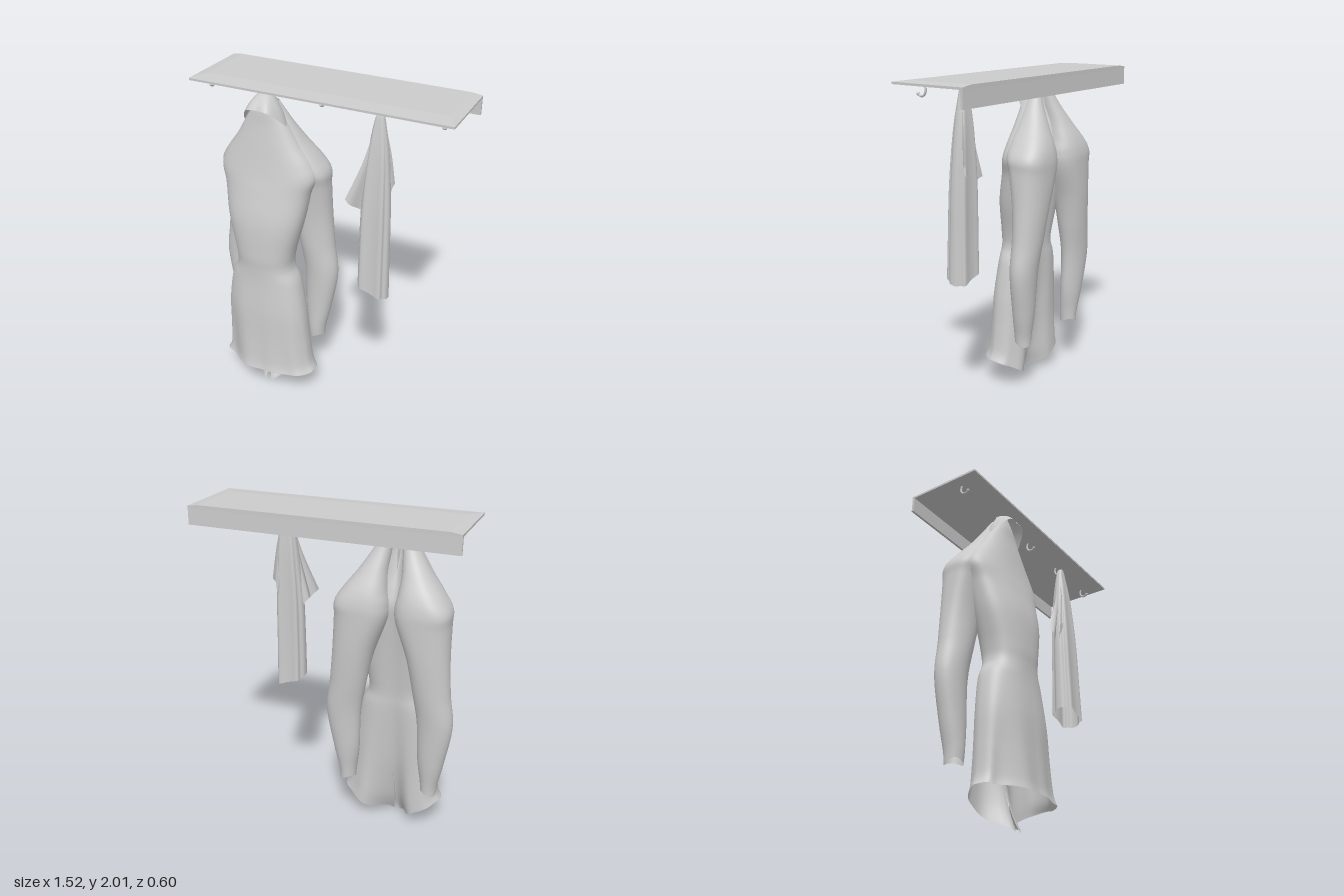
import * as THREE from 'three';
import { ParametricGeometry } from 'three/addons/geometries/ParametricGeometry.js';

const grey = new THREE.MeshStandardMaterial({ color: 0xcccccc });
const cloth = new THREE.MeshStandardMaterial({ color: 0xcccccc, side: THREE.DoubleSide });
const HOOKS = [-0.69, -0.34, 0, 0.34, 0.68];

function add(parent, name, geometry, material = grey, x = 0, y = 0, z = 0) {
  const mesh = new THREE.Mesh(geometry, material);
  mesh.name = name;
  mesh.position.set(x, y, z);
  parent.add(mesh);
  return mesh;
}

// Smoothly interpolates all columns of a table of cross-sections, t in 0..1
function sample(rows, t) {
  const n = rows.length - 1;
  const f = THREE.MathUtils.clamp(t, 0, 1) * n;
  const i = Math.min(Math.floor(f), n - 1);
  const k = f - i;
  const row = (j) => rows[THREE.MathUtils.clamp(j, 0, n)];
  return rows[0].map((_, c) => {
    const [a, b, d, e] = [row(i - 1)[c], row(i)[c], row(i + 1)[c], row(i + 2)[c]];
    return b + 0.5 * k * (d - a + k * (2 * a - 5 * b + 4 * d - e + k * (3 * (b - d) + e - a)));
  });
}

const sheet = (fn, nu, nv) => new ParametricGeometry((u, v, p) => p.set(...fn(u, v)), nu, nv);
const power = (t, e) => Math.sign(t) * Math.abs(t) ** e;

function makeRack() {
  const rack = new THREE.Group();
  rack.name = 'rack';
  add(rack, 'shelf', new THREE.BoxGeometry(1.525, 0.012, 0.46), grey, 0, 1.985, -0.075);
  // Crowned top: front and end edges pulled inward
  const crown = new THREE.BoxGeometry(1.525, 0.009, 0.46);
  const p = crown.attributes.position;
  for (let i = 0; i < p.count; i++) {
    if (p.getY(i) > 0) p.setXYZ(i, p.getX(i) * 0.92, p.getY(i), p.getZ(i) > 0 ? 0.13 : p.getZ(i));
  }
  crown.computeVertexNormals();
  add(rack, 'shelfTop', crown, grey, 0, 1.9955, -0.075);
  const panel = add(rack, 'backPanel', new THREE.BoxGeometry(1.525, 0.104, 0.014), grey, 0, 1.939, -0.297);
  panel.rotation.x = 0.03;
  const path = new THREE.CatmullRomCurve3([[1.985, 0.01], [1.95, 0.004], [1.926, 0.018], [1.921, 0.038], [1.932, 0.055]]
    .map(([y, z]) => new THREE.Vector3(0, y, z)));
  const hook = new THREE.TubeGeometry(path, 20, 0.006, 8);
  for (const x of HOOKS) {
    add(rack, 'hook', hook, grey, x);
    add(rack, 'hookTip', new THREE.SphereGeometry(0.009, 10, 8), grey, x, 1.932, 0.055);
  }
  return rack;
}

function makeCoat() {
  const coat = new THREE.Group();
  coat.name = 'coat';
  coat.position.x = HOOKS[1];

  // Body: height, half width, front z, back z, crease depth, crease width, hem drop, slit
  const body = [
    [1.945, 0.035, 0.075, 0.035, 0.01, 0.03, 0, 0],
    [1.86, 0.08, 0.1, 0.0, 0.04, 0.03, 0, 0.008],
    [1.77, 0.135, 0.112, -0.02, 0.05, 0.04, 0, 0.008],
    [1.66, 0.202, 0.132, -0.06, 0.06, 0.05, 0, 0],
    [1.56, 0.272, 0.15, -0.09, 0.05, 0.06, 0, 0],
    [1.48, 0.3, 0.167, -0.1, 0.04, 0.07, 0, 0],
    [1.38, 0.268, 0.192, -0.08, 0.03, 0.08, 0, 0],
    [1.2, 0.235, 0.232, -0.045, 0.02, 0.08, 0, 0],
    [1.0, 0.186, 0.245, -0.02, 0.02, 0.08, 0, 0],
    [0.9, 0.18, 0.243, -0.01, 0.02, 0.08, 0, 0],
    [0.8, 0.222, 0.245, -0.01, 0.025, 0.08, 0, 0],
    [0.6, 0.256, 0.26, -0.005, 0.04, 0.09, 0, 0],
    [0.4, 0.27, 0.266, -0.005, 0.07, 0.1, 0.03, 0],
    [0.24, 0.285, 0.275, -0.01, 0.13, 0.1, 0.11, 0.004],
    [0.18, 0.31, 0.285, -0.01, 0.185, 0.1, 0.185, 0.018],
  ];
  add(coat, 'coatBody', sheet((u, v) => {
    const [y, w, zf, zb, crease, cw, drop, slit] = sample(body, v);
    const a = 2 * Math.PI * u;
    const c = Math.cos(a), s = Math.sin(a);
    const x = w * power(s, 0.85);
    const back = Math.max(0, c);
    const fold = Math.exp(-((x / cw) ** 2)) * back;
    // Hem: slight ripple, a flare towards the left and a flattened right front
    const hem = THREE.MathUtils.smoothstep(v, 0.7, 1);
    const ripple = 0.005 * hem * Math.sin(9 * a);
    const flat = 0.045 * hem * THREE.MathUtils.smoothstep(-x, 0.1, 0.25) * Math.max(0, -c);
    const peak = 0.018 * hem * Math.exp(-(((x + 0.08) / 0.06) ** 2)) * Math.max(0, -c);
    const z = (zf + zb) / 2 - power(c, 0.85) * (zf - zb) / 2 + crease * fold + ripple * (1 - fold) - flat + peak;
    // The back panels run down to two pointed corners at the opening
    const fall = drop * (c > 0 ? 1 - Math.abs(x) / w : 0);
    return [x + slit * (u < 0.5 ? 1 : -1) * fold + 0.018 * hem * (1 - fold), y - fall + ripple * 0.4, z];
  }, 96, 90), cloth);

  // Shoulders and sleeves in one: height, centre x, half width, centre z, half depth, squareness
  const sleeve = [
    [1.9, 0.045, 0.018, 0.02, 0.02, 1],
    [1.78, 0.085, 0.052, 0.005, 0.055, 0.95],
    [1.67, 0.125, 0.084, -0.015, 0.09, 0.85],
    [1.57, 0.16, 0.126, -0.035, 0.118, 0.78],
    [1.49, 0.178, 0.157, -0.048, 0.125, 0.75],
    [1.4, 0.182, 0.154, -0.058, 0.116, 0.78],
    [1.2, 0.22, 0.123, -0.07, 0.1, 0.9],
    [1.0, 0.25, 0.11, -0.07, 0.088, 1],
    [0.8, 0.28, 0.105, -0.066, 0.075, 1],
    [0.55, 0.265, 0.08, -0.056, 0.065, 1],
    [0.4, 0.258, 0.055, -0.046, 0.056, 1],
    [0.33, 0.257, 0.048, -0.046, 0.051, 1],
  ];
  for (const side of [1, -1]) {
    add(coat, side > 0 ? 'leftSleeve' : 'rightSleeve', sheet((u, v) => {
      const [y, cx, rx, cz, rz, e] = sample(sleeve, v);
      const a = -side * 2 * Math.PI * u;
      const r = 1 + 0.03 * Math.sin(3 * a + 14 * v) * v * Math.sin(Math.PI * v);
      return [
        side * (cx + r * rx * power(Math.cos(a), e)),
        y + 0.012 * v * Math.sin(2 * a),
        cz + r * rz * power(Math.sin(a), e),
      ];
    }, 40, 60), cloth);
  }

  // Turned-down collar: half rim from front centre to the open ends
  const rim = [[0, 1.875, 0.155], [0.065, 1.868, 0.155], [0.115, 1.81, 0.1], [0.13, 1.77, 0.05], [0.08, 1.82, -0.01]];
  add(coat, 'collar', sheet((u, v) => {
    const t = 2 * u - 1;
    const end = sample(rim, Math.abs(t));
    const a = t * 2.6;
    const top = [0.036 * Math.sin(a), 1.952 - 0.01 * Math.abs(t), 0.045 + 0.028 * Math.cos(a)];
    const bulge = 0.012 * Math.sin(Math.PI * v);
    return [
      THREE.MathUtils.lerp(top[0], Math.sign(t) * end[0], v) + bulge * Math.sin(a),
      THREE.MathUtils.lerp(top[1], end[1], v),
      THREE.MathUtils.lerp(top[2], end[2], v) + bulge * Math.cos(a),
    ];
  }, 48, 12), cloth);
  return coat;
}

function makeTowel() {
  const towel = new THREE.Group();
  towel.name = 'towel';

  // Hanging folds: height, centre x, centre z, half width, half depth, pleat depth
  const folds = [
    [1.945, 0.34, 0.05, 0.015, 0.012, 0],
    [1.9, 0.336, 0.05, 0.03, 0.022, 0.02],
    [1.7, 0.337, 0.055, 0.06, 0.045, 0.05],
    [1.4, 0.336, 0.064, 0.083, 0.061, 0.07],
    [1.1, 0.338, 0.07, 0.089, 0.068, 0.07],
    [0.87, 0.341, 0.073, 0.092, 0.074, 0.07],
  ];
  add(towel, 'towelFolds', sheet((u, v) => {
    const [y, cx, cz, rx, rz, pleat] = sample(folds, v);
    const a = -2 * Math.PI * u;
    const r = 1 - pleat * (1 - Math.cos(6 * a));
    const x = rx * r * power(Math.cos(a), 0.6);
    const z = rz * r * power(Math.sin(a), 0.6);
    return [cx + x, y - 0.35 * v ** 4 * x + 0.15 * v ** 4 * z, cz + z];
  }, 72, 40), cloth);

  // Loose corners: outer edge then inner edge as x, y, z
  const corners = [
    ['frontCorner', [[0.315, 1.89, 0.06], [0.265, 1.68, 0.09], [0.18, 1.45, 0.13]],
      [[0.335, 1.87, 0.055], [0.31, 1.6, 0.07], [0.28, 1.35, 0.08]]],
    ['innerCorner', [[0.315, 1.89, 0.05], [0.265, 1.68, 0.05], [0.195, 1.43, 0.04]],
      [[0.335, 1.87, 0.05], [0.31, 1.6, 0.06], [0.27, 1.35, 0.08]]],
    ['backCorner', [[0.36, 1.89, 0.04], [0.39, 1.72, 0.01], [0.408, 1.53, -0.018]],
      [[0.345, 1.87, 0.05], [0.36, 1.65, 0.04], [0.38, 1.42, 0.02]]],
  ];
  for (const [name, outer, inner] of corners) {
    add(towel, name, sheet((u, v) => {
      const a = sample(outer, v), b = sample(inner, v);
      const p = a.map((k, i) => THREE.MathUtils.lerp(k, b[i], u));
      p[2] += 0.015 * v * Math.sin(2 * Math.PI * u);
      return p;
    }, 14, 20), cloth);
  }
  return towel;
}

export function createModel() {
  const model = new THREE.Group();
  model.name = 'coatRack';
  model.add(makeRack(), makeCoat(), makeTowel());
  return model;
}
